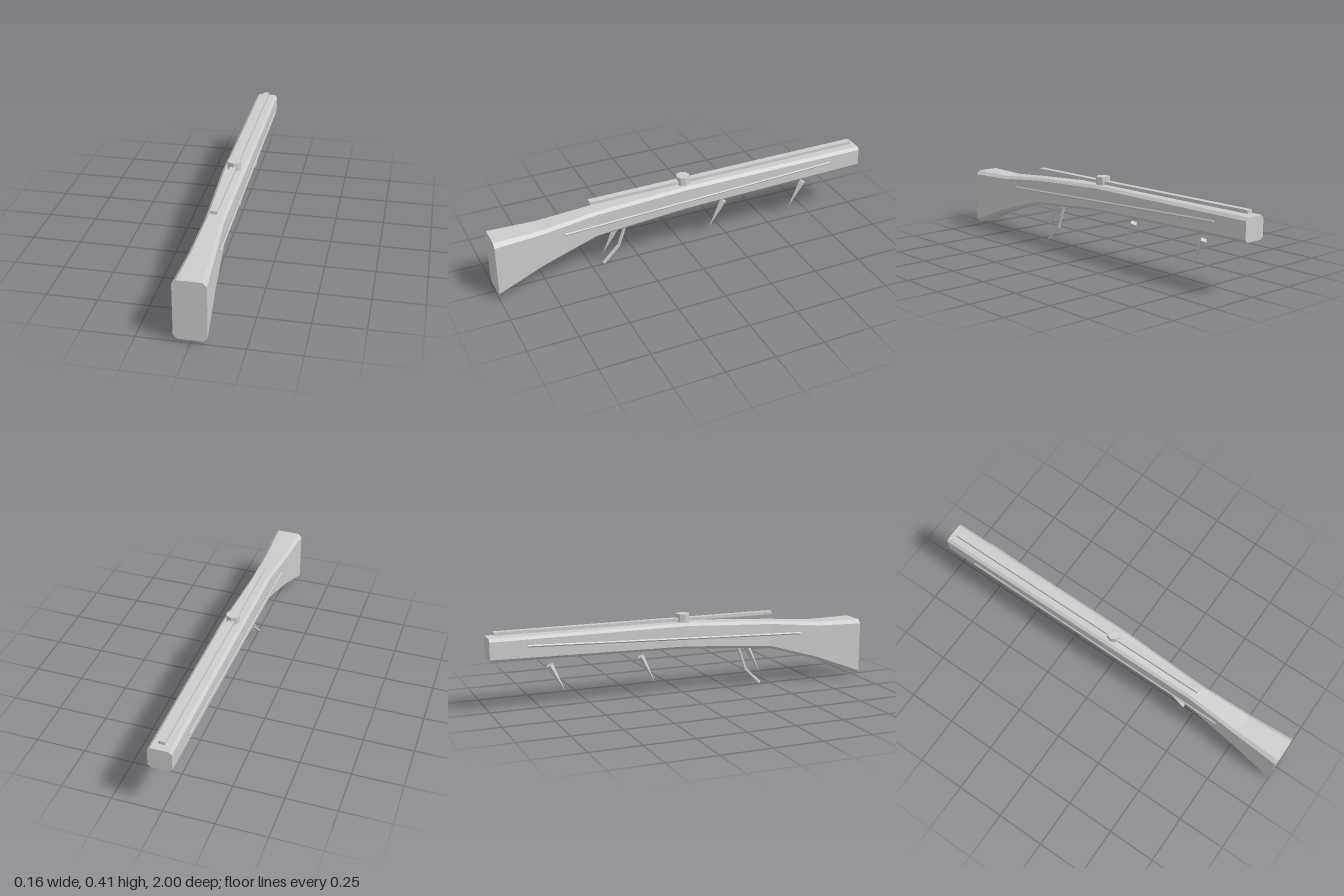
import * as THREE from 'three';

const grey = new THREE.MeshStandardMaterial({ color: 0xcccccc });
grey.name = 'plain grey';

function addMesh(group, name, geometry) {
  const flat = geometry.index ? geometry.toNonIndexed() : geometry;
  flat.computeVertexNormals();
  const mesh = new THREE.Mesh(flat, grey);
  mesh.name = name;
  group.add(mesh);
  return mesh;
}

// Chamfered rectangle, counter-clockwise as seen from the front
function ring([z, bottom, top, w, c]) {
  return [
    [w - c, bottom], [w, bottom + c], [w, top - c], [w - c, top],
    [c - w, top], [-w, top - c], [-w, bottom + c], [c - w, bottom],
  ].map(([x, y]) => [x, y, z]);
}

// Skin between chamfered sections listed from front to back, with end caps
function loft(sections) {
  const n = 8, index = [], last = (sections.length - 1) * n;
  for (let s = 0; s < sections.length - 1; s++) {
    for (let j = 0; j < n; j++) {
      const a = s * n + j, a2 = s * n + (j + 1) % n;
      index.push(a, a + n, a2 + n, a, a2 + n, a2);
    }
  }
  for (let j = 1; j < n - 1; j++) {
    index.push(0, j, j + 1, last, last + j + 1, last + j);
  }
  const g = new THREE.BufferGeometry();
  g.setAttribute('position', new THREE.Float32BufferAttribute(sections.flatMap(ring).flat(), 3));
  g.setIndex(index);
  return g;
}

// Straight prism or cone from point a to point b
function rod(group, name, a, b, rA, rB, sides) {
  const from = new THREE.Vector3(...a), to = new THREE.Vector3(...b);
  const dir = to.clone().sub(from);
  const mesh = addMesh(group, name, new THREE.CylinderGeometry(rB, rA, dir.length(), sides));
  mesh.position.copy(from).add(to).multiplyScalar(0.5);
  mesh.quaternion.setFromUnitVectors(new THREE.Vector3(0, 1, 0), dir.normalize());
  return mesh;
}

export function createModel() {
  const model = new THREE.Group();
  model.name = 'rifle';

  // Stock and fore-end: z, bottom, top, half width, chamfer
  addMesh(model, 'body', loft([
    [1, 0.015, 0.315, 0.078, 0.02],
    [0.76, 0.112, 0.315, 0.062, 0.015],
    [0.48, 0.197, 0.34, 0.047, 0.013],
    [0, 0.238, 0.37, 0.058, 0.014],
    [-1, 0.257, 0.37, 0.058, 0.014],
  ]));

  // Slightly tilted bar along the top
  const bar = addMesh(model, 'topBar', new THREE.BoxGeometry(0.032, 0.016, 1.47));
  bar.position.set(0, 0.383, -0.235);
  bar.rotation.x = 0.004;

  // Octagonal knob on the bar
  addMesh(model, 'knob', new THREE.CylinderGeometry(0.035, 0.035, 0.042, 8))
    .position.set(0, 0.39, 0);

  // Thin rails on both flanks
  for (const side of [1, -1]) {
    const rail = rod(model, side > 0 ? 'leftRail' : 'rightRail',
      [side * 0.06, 0.267, 0.65], [side * 0.068, 0.326, -0.82], 0.006, 0.006, 4);
    rail.scale.x = 0.7;
  }

  // Spikes hanging under the body
  for (const z of [0.36, -0.23, -0.7]) {
    rod(model, 'spike', [0, 0.208, z], [0, 0.065, z + 0.08], 0.02, 0, 4);
  }

  // Bent trigger
  const bend = [0, 0.09, 0.355];
  rod(model, 'triggerUpper', [0, 0.212, 0.312], bend, 0.009, 0.009, 6);
  rod(model, 'triggerLower', bend, [0, 0.007, 0.438], 0.009, 0.009, 6);

  return model;
}
